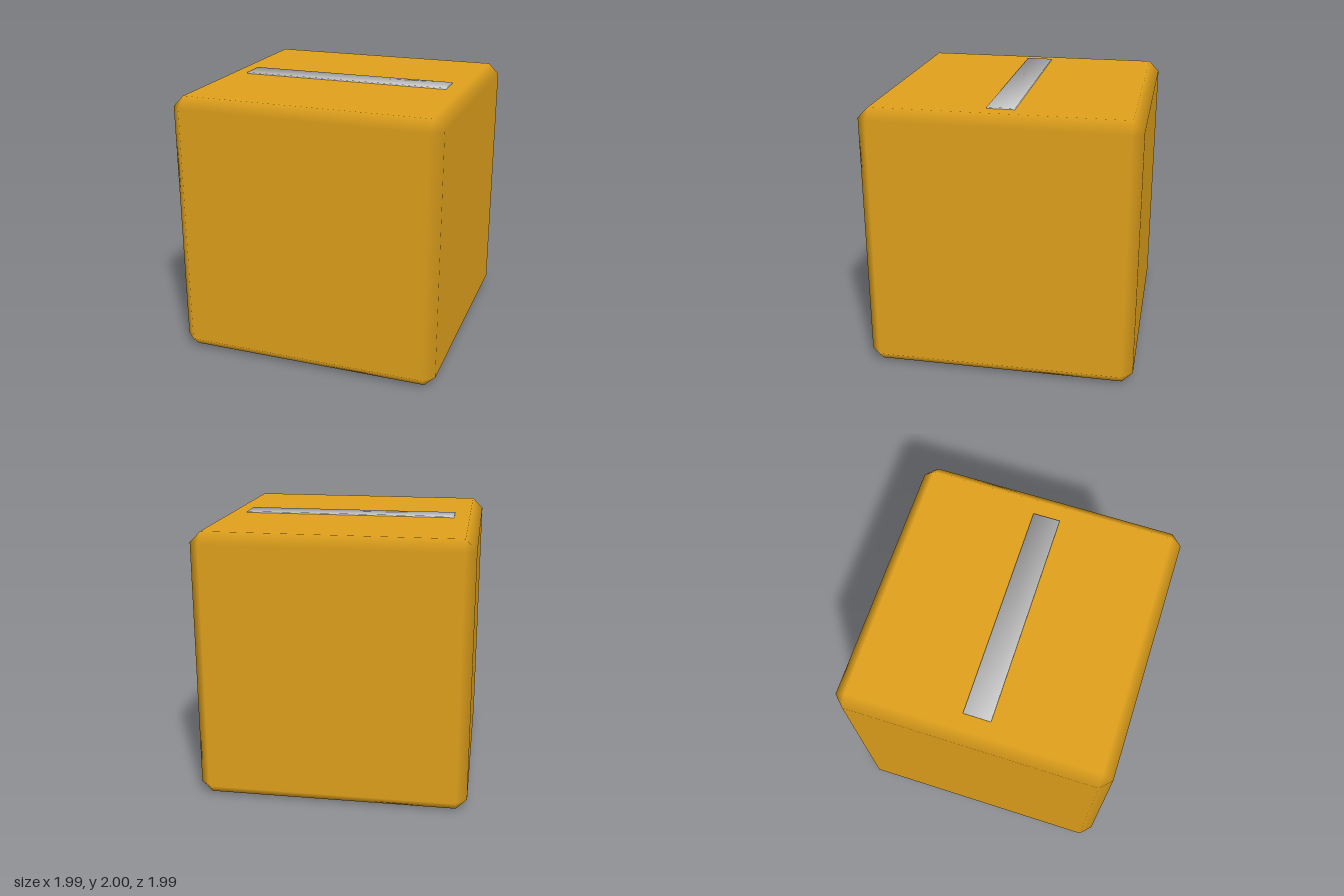
import * as THREE from 'three';
import { ConvexGeometry } from 'three/addons/geometries/ConvexGeometry.js';

const HALF = 0.995; // half the cube's side
const BEVEL = 0.08;

// Replace a geometry's normals by a rule on each vertex position.
function setNormals(geometry, rule) {
  const pos = geometry.attributes.position;
  const p = new THREE.Vector3();
  for (let i = 0; i < pos.count; i++) {
    const n = rule(p.fromBufferAttribute(pos, i)).normalize();
    geometry.attributes.normal.setXYZ(i, n.x, n.y, n.z);
  }
  return geometry;
}

// Cube with one chamfer per edge, softly shaded from face to face.
function bevelledCube() {
  const inner = HALF - BEVEL;
  const points = [];
  for (const x of [-1, 1]) for (const y of [-1, 1]) for (const z of [-1, 1]) {
    points.push(
      new THREE.Vector3(x * HALF, y * inner, z * inner),
      new THREE.Vector3(x * inner, y * HALF, z * inner),
      new THREE.Vector3(x * inner, y * inner, z * HALF),
    );
  }
  // Each corner point takes the normal of the flat face it belongs to.
  const snap = (v) => (Math.abs(v) > HALF - BEVEL / 2 ? Math.sign(v) : 0);
  return setNormals(new ConvexGeometry(points),
    (p) => new THREE.Vector3(snap(p.x), snap(p.y), snap(p.z)));
}

export function createModel() {
  const model = new THREE.Group();
  model.name = 'slottedCube';

  const body = new THREE.Mesh(bevelledCube(), new THREE.MeshStandardMaterial({ color: 0xe0a11c }));
  body.name = 'cubeBody';
  body.position.y = HALF;
  model.add(body);

  // Slot bar let into the top, just proud of it, with shared corner normals
  const height = 0.2;
  const slot = new THREE.Mesh(
    setNormals(new THREE.BoxGeometry(1.6, height, 0.2),
      (p) => new THREE.Vector3(Math.sign(p.x), Math.sign(p.y), Math.sign(p.z))),
    new THREE.MeshStandardMaterial({ color: 0xcccccc }),
  );
  slot.name = 'topSlot';
  slot.position.y = 2 - height / 2;
  model.add(slot);

  return model;
}
